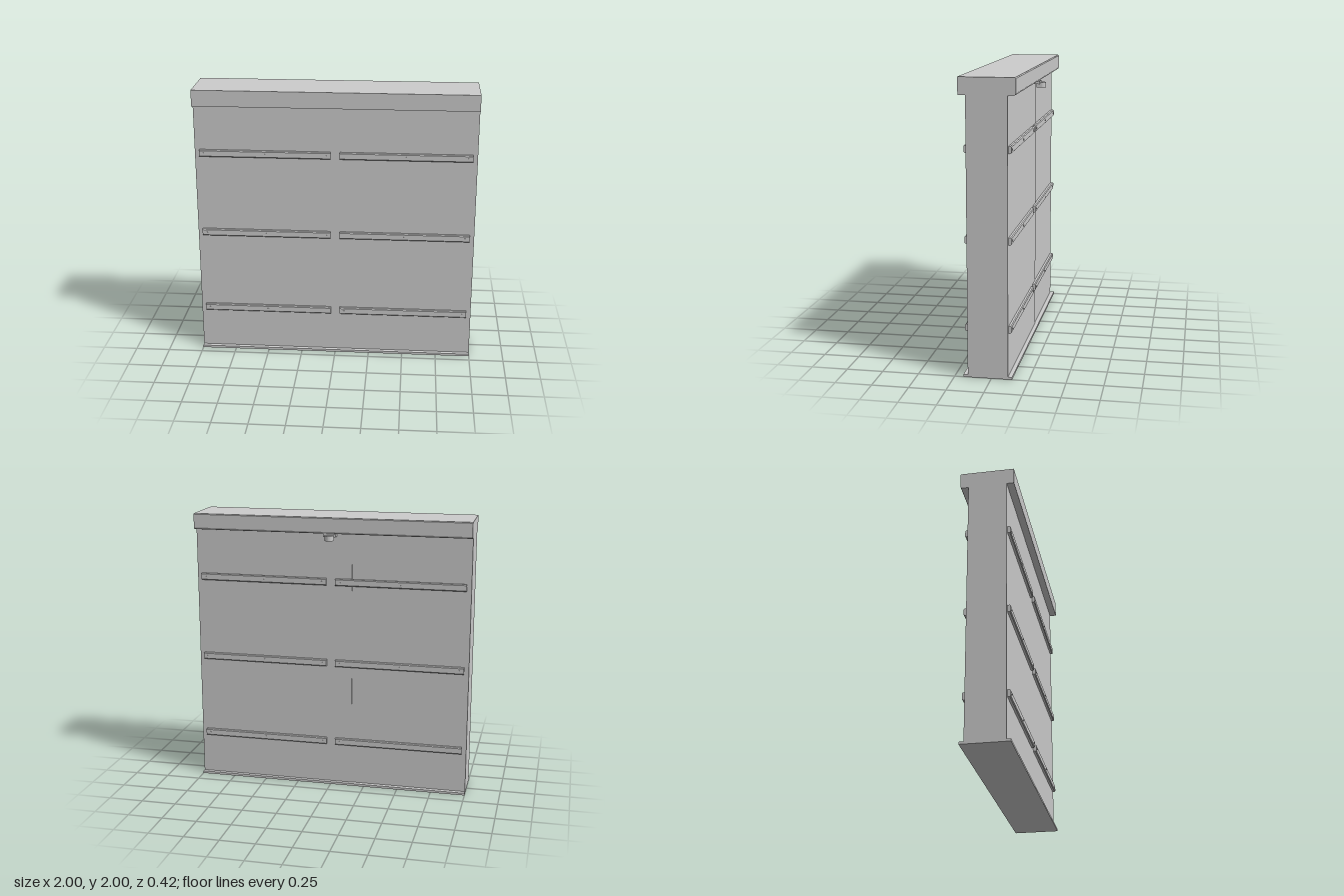
import * as THREE from 'three';

const grey = new THREE.MeshStandardMaterial({ color: 0xcccccc, flatShading: true });

export function createModel() {
  const model = new THREE.Group();

  const add = (name, geometry, parent = model) => {
    const mesh = new THREE.Mesh(geometry, grey);
    mesh.name = name;
    parent.add(mesh);
    return mesh;
  };

  // Box given by its limits on each axis
  const box = (name, x0, x1, y0, y1, z0, z1, parent) =>
    add(name, new THREE.BoxGeometry(x1 - x0, y1 - y0, z1 - z0), parent)
      .position.set((x0 + x1) / 2, (y0 + y1) / 2, (z0 + z1) / 2);

  // Side profile of [z, y] points extruded along x
  const profile = (name, points, x0, x1, parent) => {
    const shape = new THREE.Shape(points.map(([z, y]) => new THREE.Vector2(-z, y)));
    const geometry = new THREE.ExtrudeGeometry(shape, { depth: x1 - x0, bevelEnabled: false });
    geometry.rotateY(Math.PI / 2).translate(x0, 0, 0);
    return add(name, geometry, parent);
  };

  // Wall slab, with an overlapping cover sheet on the back
  box('wall', -1, 1, 0.01, 1.9, -0.108, 0.16);
  box('backSheet', -0.153, 1, 0.015, 1.89, -0.112, -0.107);

  // Flanged base plate
  box('basePlate', -1, 1, 0, 0.017, -0.14, 0.19);

  // Header box, softened along its rear edges
  profile('headerBox', [
    [0.21, 1.885], [0.21, 2], [-0.16, 2], [-0.166, 1.994],
    [-0.166, 1.9], [-0.161, 1.889], [-0.15, 1.885],
  ], -1, 1);

  // Horizontal rails with three screws each, on both faces
  for (const [side, face] of [[1, 0.16], [-1, -0.11]]) {
    for (const y of [0.335, 0.935, 1.535]) {
      for (const x of [-0.5, 0.5]) {
        const rail = new THREE.Group();
        rail.name = side > 0 ? 'frontRail' : 'backRail';
        model.add(rail);
        const tip = face + side * 0.022;
        profile('railBar', [
          [face, y - 0.025], [face, y + 0.025], [face + side * 0.016, y + 0.025],
          [tip, y + 0.019], [tip, y - 0.019], [face + side * 0.016, y - 0.025],
        ], x - 0.467, x + 0.467, rail);
        for (const dx of [-0.435, 0, 0.435]) {
          const screw = add('screw', new THREE.CylinderGeometry(0.006, 0.006, 0.006, 8), rail);
          screw.rotation.x = Math.PI / 2;
          screw.position.set(x + dx, y, tip);
        }
      }
    }
  }

  // Small latch under the rear of the header
  const latch = new THREE.Group();
  latch.name = 'latch';
  model.add(latch);
  box('latchPlate', -0.045, 0.045, 1.865, 1.888, -0.17, -0.13, latch);
  const outline = new THREE.Shape();
  outline.moveTo(-0.03, 0.145);
  outline.lineTo(0.03, 0.145);
  outline.lineTo(0.03, 0.18);
  outline.absarc(0, 0.18, 0.03, 0, Math.PI, false);
  const knob = new THREE.ExtrudeGeometry(outline, { depth: 0.037, bevelEnabled: false, curveSegments: 10 });
  knob.rotateX(-Math.PI / 2).translate(0, 1.84, 0);
  add('latchKnob', knob, latch);

  return model;
}
